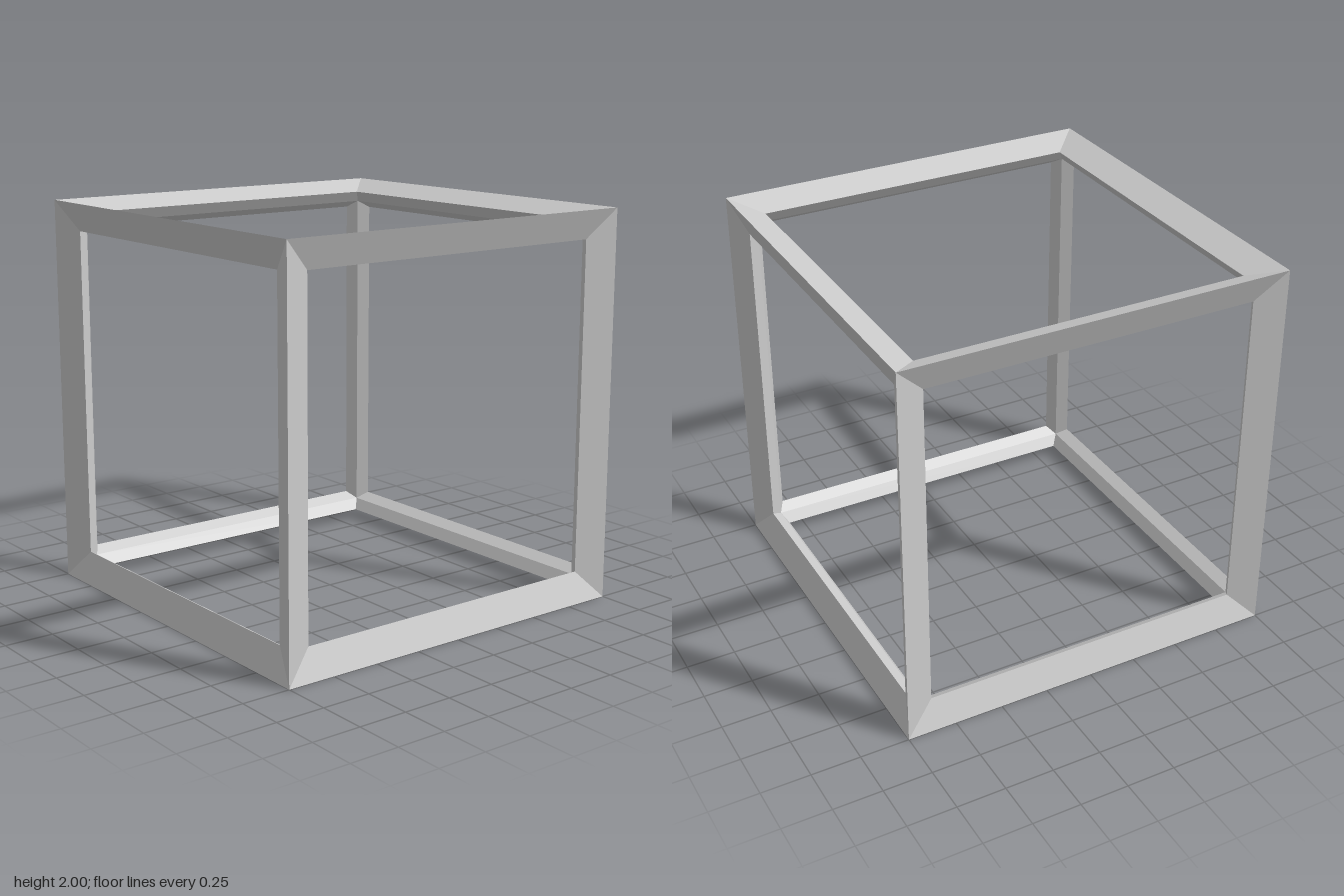
import * as THREE from 'three';

const OUTER = 1;      // sharp outer corner
const OPENING = 0.85; // half width of each window
const RECESS = 0.942; // depth at which each window edge sits
const INNER = 0.885;  // inner ridge of each bar

// One mitred, four-sided bar running along x at the +y, +z edge of the cube
function barGeometry() {
  // Cross-section corners, given where they end at the +x mitre
  const ring = [
    [OUTER, OUTER, OUTER],
    [OPENING, OPENING, RECESS],
    [INNER, INNER, INNER],
    [OPENING, RECESS, OPENING],
  ];
  const positions = [];
  ring.forEach(([x0, y0, z0], k) => {
    const [x1, y1, z1] = ring[(k + 1) % ring.length];
    const a = [-x0, y0, z0], b = [-x1, y1, z1];
    const c = [x1, y1, z1], d = [x0, y0, z0];
    positions.push(...a, ...b, ...c, ...a, ...c, ...d);
  });
  const geometry = new THREE.BufferGeometry();
  geometry.setAttribute('position', new THREE.Float32BufferAttribute(positions, 3));
  geometry.computeVertexNormals();
  return geometry;
}

export function createModel() {
  const model = new THREE.Group();
  model.name = 'cubeFrame';
  const material = new THREE.MeshStandardMaterial({ color: 0xcccccc, flatShading: true });
  const geometry = barGeometry();

  // Four bars along each of the three axes
  const directions = [
    { name: 'widthBars', rotation: [0, 0, 0] },
    { name: 'uprightBars', rotation: [0, 0, Math.PI / 2] },
    { name: 'depthBars', rotation: [0, Math.PI / 2, 0] },
  ];
  for (const { name, rotation } of directions) {
    const bars = new THREE.Group();
    bars.name = name;
    bars.rotation.set(...rotation);
    bars.position.y = 1;
    for (let i = 0; i < 4; i++) {
      const bar = new THREE.Mesh(geometry, material);
      bar.name = 'bar';
      bar.rotation.x = (i * Math.PI) / 2;
      bars.add(bar);
    }
    model.add(bars);
  }
  return model;
}
